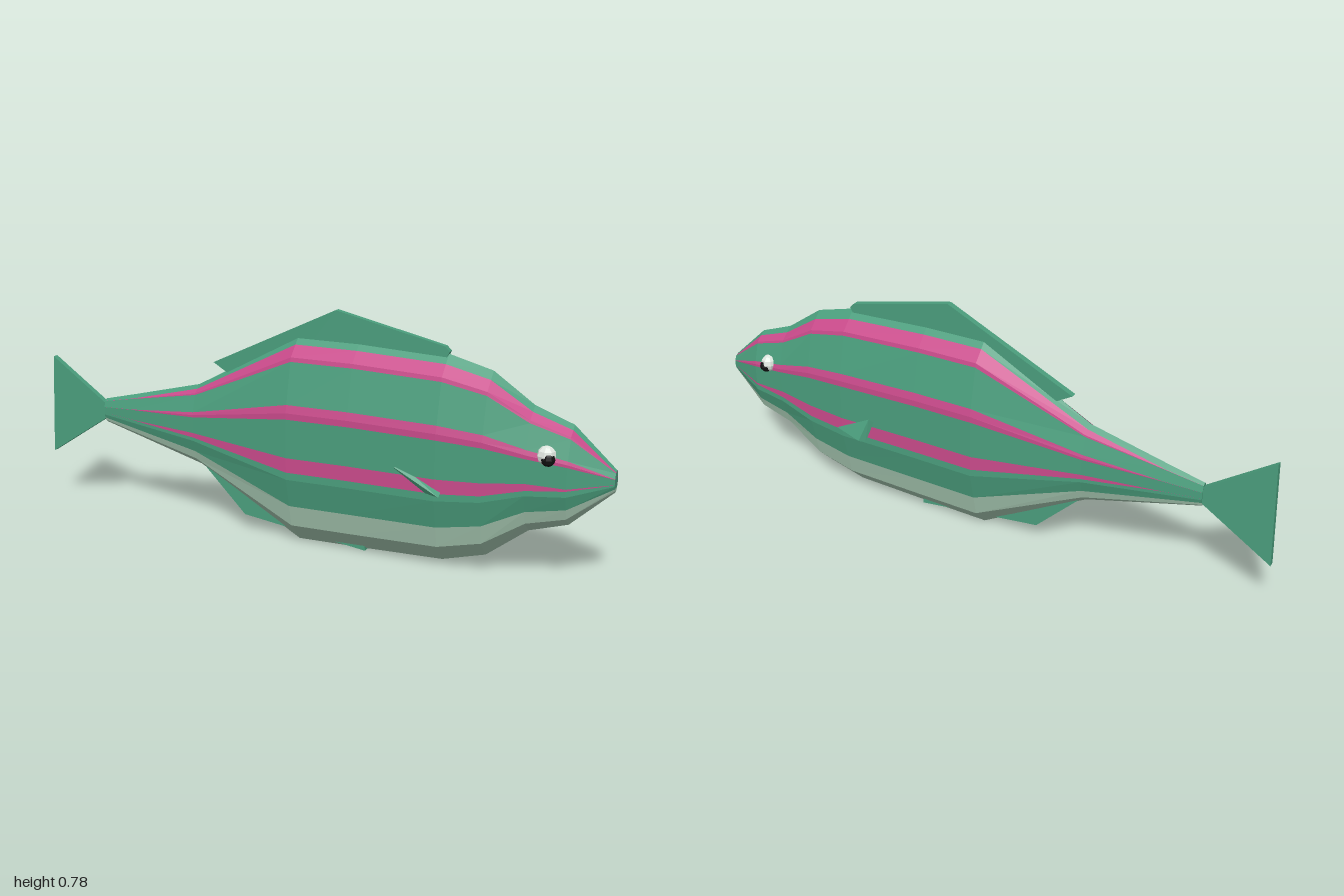
import * as THREE from 'three';
import { ConvexGeometry } from 'three/addons/geometries/ConvexGeometry.js';

const MID_Z = 0.025; // the body's plane of symmetry

const mat = (name, color) => {
  const m = new THREE.MeshStandardMaterial({ color });
  m.name = name;
  return m;
};

// Body stations: x, top, bottom, half width, size of the three stripes
const STATIONS = [
  [-0.77, 0.398, 0.315, 0.015, 0.02, 0.02, 0.02],
  [-0.65, 0.427, 0.283, 0.027, 0.1, 0.1, 0.05],
  [-0.39, 0.492, 0.213, 0.054, 0.9, 0.9, 0.8],
  [-0.02, 0.695, 0.005, 0.1, 1, 1, 1],
  [0.19, 0.695, 0.01, 0.1, 1, 1, 1],
  [0.48, 0.682, 0.02, 0.1, 1, 1, 1],
  [0.62, 0.645, 0.06, 0.09, 1, 1, 1],
  [0.75, 0.555, 0.162, 0.077, 1, 1, 0.8],
  [0.87, 0.51, 0.2, 0.064, 1, 0.9, 0.3],
  [1.0, 0.39, 0.322, 0.021, 0.3, 0.3, 0.1],
];

// Unit ten-sided cross-section: height and half width
const PROFILE = [[1, 0], [0.82, 0.61], [0.32, 1], [-0.32, 1], [-0.81, 0.61], [-1, 0]];

function profileWidth(v) {
  for (let i = 0; i < PROFILE.length - 1; i++) {
    const [v0, w0] = PROFILE[i], [v1, w1] = PROFILE[i + 1];
    if (v >= v1) return w0 + (w1 - w0) * (v0 - v) / (v0 - v1);
  }
  return 0;
}

// Colour of each band from back ridge to belly ridge
const BANDS = ['skin', 'stripe', 'stripe', 'skin', 'stripe', 'stripe', 'skin',
  'stripe', 'skin', 'skin', 'belly', 'belly'];

// Band edges on one station, for one side of the body
function ring([x, top, bottom, half, a, b, c], side) {
  const edges = [1, 0.82 + 0.1 * a, 0.82, 0.82 - 0.04 * a, 0.32 + 0.075 * b, 0.32,
    0.32 - 0.06 * b, -0.18 + 0.07 * c, -0.18 - 0.07 * c, -0.32, -0.6, -0.81, -1];
  return edges.map(v => [x, (top + bottom) / 2 + v * (top - bottom) / 2,
    MID_Z + side * half * profileWidth(v)]);
}

function bodyGeometry(colour) {
  const pos = [];
  const quad = (a, b, c, d) => pos.push(...a, ...b, ...c, ...a, ...c, ...d);
  const left = STATIONS.map(s => ring(s, 1)), right = STATIONS.map(s => ring(s, -1));
  const end = STATIONS.length - 1;
  BANDS.forEach((name, j) => {
    if (name !== colour) return;
    for (let i = 0; i < end; i++) {
      quad(left[i][j + 1], left[i + 1][j + 1], left[i + 1][j], left[i][j]);
      quad(right[i][j], right[i + 1][j], right[i + 1][j + 1], right[i][j + 1]);
    }
    // Blunt nose and tail root
    quad(left[end][j + 1], right[end][j + 1], right[end][j], left[end][j]);
    quad(left[0][j], right[0][j], right[0][j + 1], left[0][j + 1]);
  });
  const g = new THREE.BufferGeometry();
  g.setAttribute('position', new THREE.Float32BufferAttribute(pos, 3));
  g.computeVertexNormals();
  return g;
}

// Flat fin standing in the plane of symmetry
function finGeometry(points, depth = 0.02) {
  const shape = new THREE.Shape(points.map(p => new THREE.Vector2(...p)));
  return new THREE.ExtrudeGeometry(shape, { depth, bevelEnabled: false })
    .translate(0, 0, MID_Z - depth / 2);
}

export function createModel() {
  const group = new THREE.Group();
  group.name = 'fish';
  const skin = mat('green skin', 0x4a9d7c);
  const stripe = mat('pink stripe', 0xc84a8a);
  const belly = mat('pale belly', 0xa2c3ad);
  const white = mat('eye white', 0xe2eae2);
  const black = mat('pupil black', 0x121212);
  [skin, stripe, belly, white, black].forEach(m => { m.flatShading = true; });

  const add = (name, geometry, material) => {
    const mesh = new THREE.Mesh(geometry, material);
    mesh.name = name;
    group.add(mesh);
    return mesh;
  };

  // Body
  add('body', bodyGeometry('skin'), skin);
  add('stripes', bodyGeometry('stripe'), stripe);
  add('belly', bodyGeometry('belly'), belly);

  // Fins along the middle
  add('tailFin', finGeometry([[-1, 0.18], [-0.76, 0.335], [-0.76, 0.378], [-0.98, 0.53]]), skin);
  add('dorsalFin', finGeometry([[-0.33, 0.575], [-0.27, 0.54], [0, 0.64], [0.46, 0.64],
    [0.485, 0.69], [0.47, 0.705], [0.11, 0.785]]), skin);
  add('analFin', finGeometry([[-0.38, 0.22], [-0.22, 0.06], [-0.1, 0.045],
    [0.22, 0.005], [0.2, 0.2]]), skin);

  // Side fins: the right one stands out, the left one lies nearly inside the body
  const finPoints = [[0.5, 0.275, -0.078], [0.38, 0.28, -0.125], [0.36, 0.35, -0.09],
    [0.5, 0.265, -0.06], [0.365, 0.27, -0.108], [0.35, 0.335, -0.075]]
    .map(p => new THREE.Vector3(...p));
  add('rightSideFin', new ConvexGeometry(finPoints), skin);
  const leftFin = finPoints.map(p => new THREE.Vector3(p.x, p.y, p.z + 0.202));
  add('leftSideFin', new ConvexGeometry(leftFin), skin);

  // Eyes
  for (const [name, side] of [['left', 1], ['right', -1]]) {
    add(name + 'Eye', new THREE.SphereGeometry(0.03, 8, 6), white)
      .position.set(0.807, 0.425, MID_Z + side * 0.06);
    add(name + 'Pupil', new THREE.SphereGeometry(0.022, 8, 6), black)
      .position.set(0.814, 0.417, MID_Z + side * 0.071);
  }
  return group;
}
